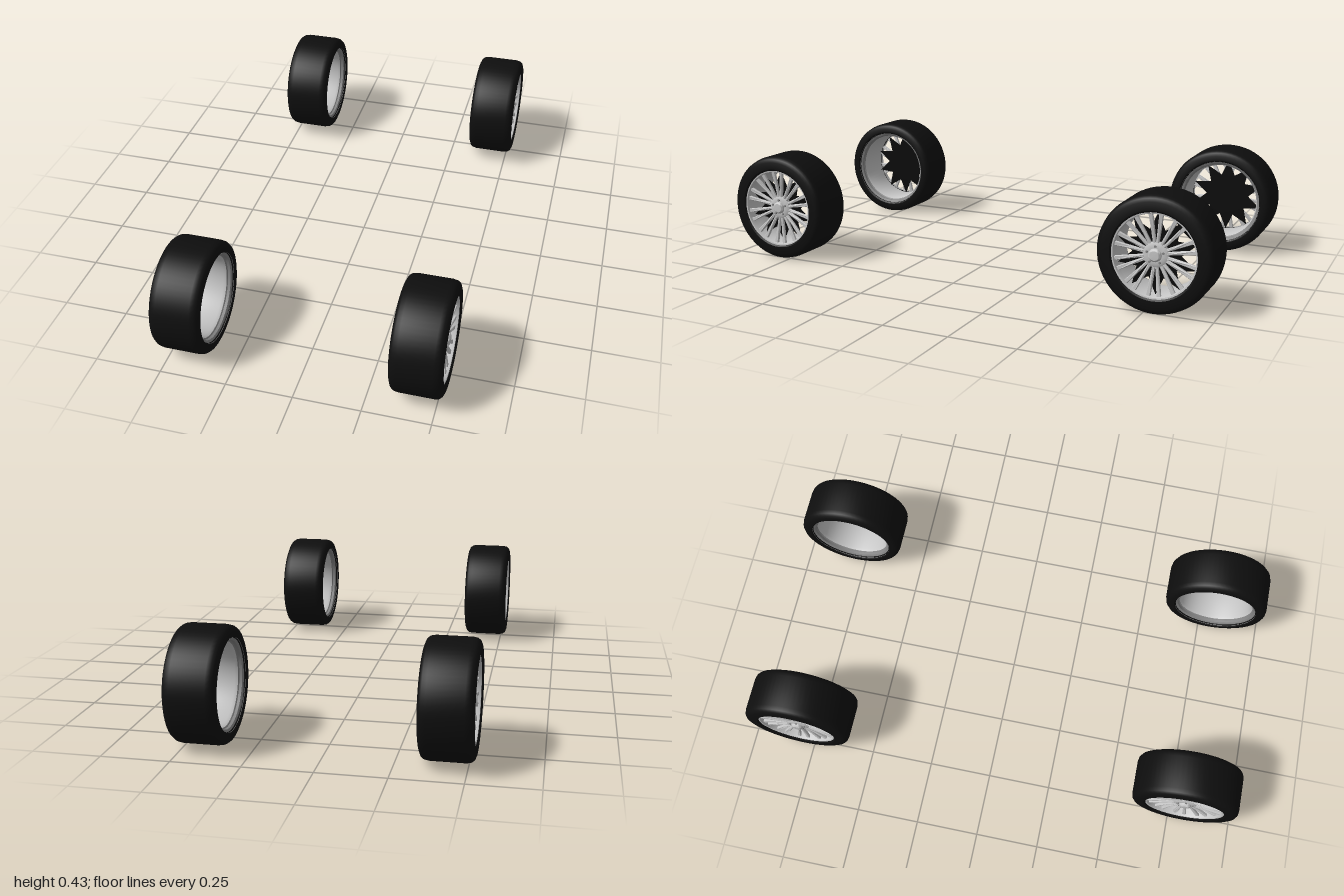
import * as THREE from 'three';
import { toCreasedNormals } from 'three/addons/utils/BufferGeometryUtils.js';

const rubber = new THREE.MeshStandardMaterial({ color: 0x0e0e0e, name: 'black rubber' });
const silver = new THREE.MeshStandardMaterial({ color: 0xc6c6c6, name: 'silver', side: THREE.DoubleSide });
const grey = new THREE.MeshStandardMaterial({ color: 0x868686, name: 'grey metal', side: THREE.DoubleSide });
const black = new THREE.MeshStandardMaterial({ color: 0x080808, name: 'black backing', side: THREE.DoubleSide });

const HALF = 0.093; // half the tyre width

// Lathe round the wheel axle (+z is the outer side); points are [radius, depth].
function turned(points, segments = 64) {
  const g = new THREE.LatheGeometry(points.map(([r, z]) => new THREE.Vector2(r, z)), segments);
  g.rotateX(Math.PI / 2);
  return toCreasedNormals(g, 0.6);
}

// Flat outline in the wheel plane, given thickness and a bevel
function plate(points, depth, bevel = 0) {
  const shape = new THREE.Shape(points.map(([x, y]) => new THREE.Vector2(x, y)));
  return new THREE.ExtrudeGeometry(shape, {
    depth, bevelEnabled: bevel > 0, bevelSize: bevel, bevelThickness: bevel, bevelSegments: 1,
  });
}

function add(parent, name, geometry, material) {
  const mesh = new THREE.Mesh(geometry, material);
  mesh.name = name;
  parent.add(mesh);
  return mesh;
}

function makeWheel(R) {
  const wheel = new THREE.Group();

  // Tyre with rounded shoulders and an open bore
  add(wheel, 'tyre', turned([
    [0.166, -HALF + 0.006], [0.172, -HALF], [R - 0.022, -HALF], [R - 0.01, -HALF + 0.005],
    [R - 0.003, -HALF + 0.014], [R, -HALF + 0.03], [R, HALF - 0.03], [R - 0.003, HALF - 0.014],
    [R - 0.01, HALF - 0.005], [R - 0.022, HALF], [0.16, HALF], [0.153, HALF - 0.006],
    [0.153, 0.02], [0.166, -HALF + 0.006],
  ]), rubber);

  // Rim: barrel, stepped inner flange and thin outer lip
  add(wheel, 'barrel', turned([
    [0.151, 0.07], [0.147, 0.055], [0.147, -0.055], [0.152, -0.066],
  ]), silver);
  add(wheel, 'innerFlange', turned([
    [0.152, -0.066], [0.156, -0.07], [0.157, -0.08], [0.166, -0.084], [0.168, -0.09],
  ]), grey);
  add(wheel, 'outerLip', turned([
    [0.145, 0.064], [0.147, 0.08], [0.149, 0.087], [0.154, 0.088], [0.155, 0.08],
  ]), silver);

  // Black star behind the spokes, one point to each spoke pair
  const star = [];
  for (let i = 0; i < 20; i++) {
    const a = (i / 20) * Math.PI * 2 + Math.PI / 2;
    const r = i % 2 ? 0.088 : 0.146;
    star.push([Math.cos(a) * r, Math.sin(a) * r]);
  }
  add(wheel, 'spokeBacking', plate(star, 0.004), black).position.z = 0.05;

  // Ten pairs of tapered spokes, dished towards the hub
  const spokeShape = [[0.02, -0.0035], [0.085, -0.0045], [0.148, -0.006],
    [0.148, 0.006], [0.085, 0.0045], [0.02, 0.0035]];
  const spoke = plate(spokeShape, 0.008, 0.0015);
  const p = spoke.attributes.position;
  for (let i = 0; i < p.count; i++) {
    const t = p.getX(i) / 0.148;
    p.setZ(i, p.getZ(i) + 0.058 + 0.012 * t * t);
  }
  spoke.computeVertexNormals();
  for (let i = 0; i < 10; i++) {
    const pair = new THREE.Group();
    pair.name = 'spokePair';
    pair.rotation.z = (i / 10) * Math.PI * 2 + Math.PI / 2;
    for (const s of [-1, 1]) add(pair, 'spoke', spoke, silver).rotation.z = s * 0.13;
    wheel.add(pair);
  }

  // Hub, cap and wheel nuts
  add(wheel, 'hub', turned([
    [0, 0.054], [0.046, 0.054], [0.046, 0.068], [0.036, 0.073], [0.024, 0.073],
    [0.023, 0.08], [0.017, 0.085], [0, 0.086],
  ], 40), silver);
  const nut = new THREE.CylinderGeometry(0.0045, 0.0045, 0.006, 6).rotateX(Math.PI / 2);
  for (let i = 0; i < 5; i++) {
    const a = (i / 5) * Math.PI * 2 + Math.PI / 2;
    add(wheel, 'wheelNut', nut, grey).position.set(Math.cos(a) * 0.031, Math.sin(a) * 0.031, 0.074);
  }
  return wheel;
}

export function createModel() {
  const model = new THREE.Group();
  model.name = 'wheelSet';
  for (const [end, R] of [['front', 0.2095], ['rear', 0.2125]]) {
    for (const side of [1, -1]) {
      const wheel = makeWheel(R);
      wheel.name = end + (side > 0 ? 'LeftWheel' : 'RightWheel');
      wheel.rotation.y = side * Math.PI / 2; // outer face away from the centre
      wheel.position.set(side * 0.431, R, (end === 'front' ? 1 : -1) * (1 - R));
      model.add(wheel);
    }
  }
  return model;
}
